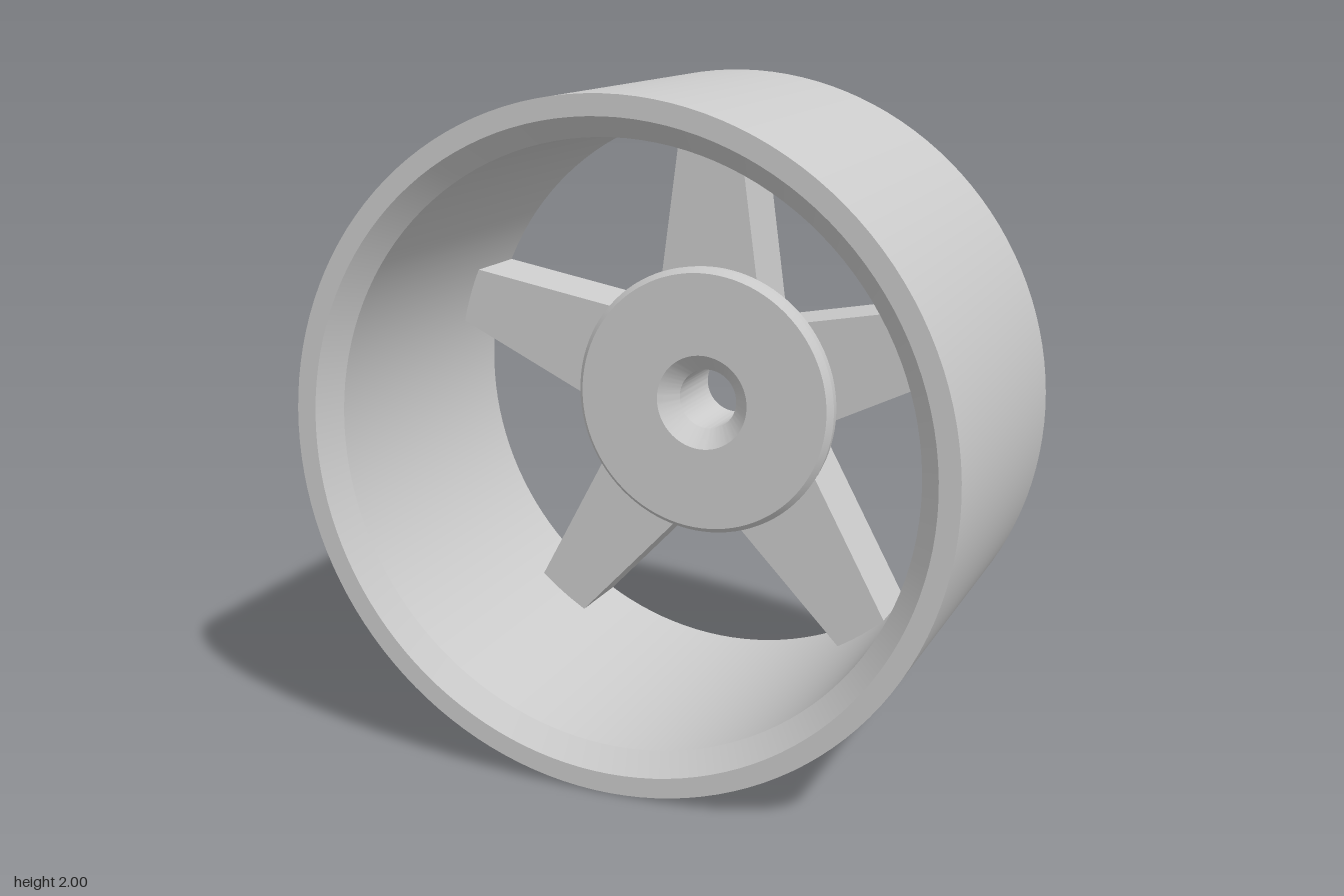
import * as THREE from 'three';
import { toCreasedNormals } from 'three/addons/utils/BufferGeometryUtils.js';

const material = new THREE.MeshStandardMaterial({ color: 0xcccccc });
const SPOKES = 5, SLOPE = 0.135;
const BACK = -0.53, CHAMFER = -0.47, SPOKE_FRONT = -0.24;

function part(name, geometry) {
  const mesh = new THREE.Mesh(geometry, material);
  mesh.name = name;
  return mesh;
}

// Revolve an [r, z] outline about the z axis, keeping sharp edges
function turned(name, points, segments) {
  const lathe = new THREE.LatheGeometry(points.map(([r, z]) => new THREE.Vector2(r, z)), segments);
  lathe.rotateX(Math.PI / 2);
  return part(name, toCreasedNormals(lathe, 0.4));
}

// Counterclockwise star outline; each spoke tapers as halfWidth = w0 - SLOPE * r
function starOutline(w0, tipRadius) {
  const half = Math.PI / SPOKES;
  const notchR = w0 / (Math.tan(half) + SLOPE) / Math.cos(half);
  const tipW = w0 - SLOPE * tipRadius;
  const points = [], origin = new THREE.Vector2();
  for (let i = 0; i < SPOKES; i++) {
    const a = (i * 2 * Math.PI) / SPOKES;
    points.push(
      new THREE.Vector2(tipW, tipRadius).rotateAround(origin, a),
      new THREE.Vector2(-tipW, tipRadius).rotateAround(origin, a),
      new THREE.Vector2(0, notchR).rotateAround(origin, a + half));
  }
  return points;
}

function starShape(points, holeRadius) {
  const shape = new THREE.Shape(points);
  shape.holes.push(new THREE.Path().absarc(0, 0, holeRadius, 0, Math.PI * 2, true));
  return shape;
}

export function createModel() {
  const model = new THREE.Group();
  model.name = 'wheel';

  // Rim: straight barrel with chamfered inner lips
  model.add(turned('rim', [
    [0.94, -0.53], [1, -0.53], [1, 0.53], [0.94, 0.53],
    [0.88, 0.47], [0.88, -0.47], [0.94, -0.53]], 128));

  // Hub disc with a countersunk through bore
  model.add(turned('hub', [
    [0.1, -0.24], [0.42, -0.24], [0.425, -0.2], [0.408, -0.18], [0.15, -0.18],
    [0.095, -0.235], [0.095, -0.475], [0.15, -0.53]], 96));

  const spokes = new THREE.Group();
  spokes.name = 'spokes';
  model.add(spokes);
  const wide = starOutline(0.209, 0.9), narrow = starOutline(0.153, 0.945);

  // Straight-sided spoke body
  const body = new THREE.ExtrudeGeometry(starShape(wide, 0.1), {
    depth: SPOKE_FRONT - CHAMFER, bevelEnabled: false, curveSegments: 32 });
  body.translate(0, 0, CHAMFER);
  spokes.add(part('spokeBody', body));

  // Flat star on the back, turned over to face -z
  const face = new THREE.ShapeGeometry(starShape(narrow, 0.15), 48);
  face.rotateY(Math.PI);
  face.translate(0, 0, BACK);
  spokes.add(part('spokeFace', face));

  // Sloping edges between the flat star and the body
  const positions = [];
  narrow.forEach((a, i) => {
    const j = (i + 1) % narrow.length;
    const b = narrow[j], c = wide[j], d = wide[i];
    const A = [a.x, a.y, BACK], B = [b.x, b.y, BACK];
    const C = [c.x, c.y, CHAMFER], D = [d.x, d.y, CHAMFER];
    positions.push(...A, ...B, ...C, ...A, ...C, ...D);
  });
  const chamfer = new THREE.BufferGeometry();
  chamfer.setAttribute('position', new THREE.Float32BufferAttribute(positions, 3));
  chamfer.computeVertexNormals();
  spokes.add(part('spokeChamfer', chamfer));

  model.position.y = 1;
  return model;
}
